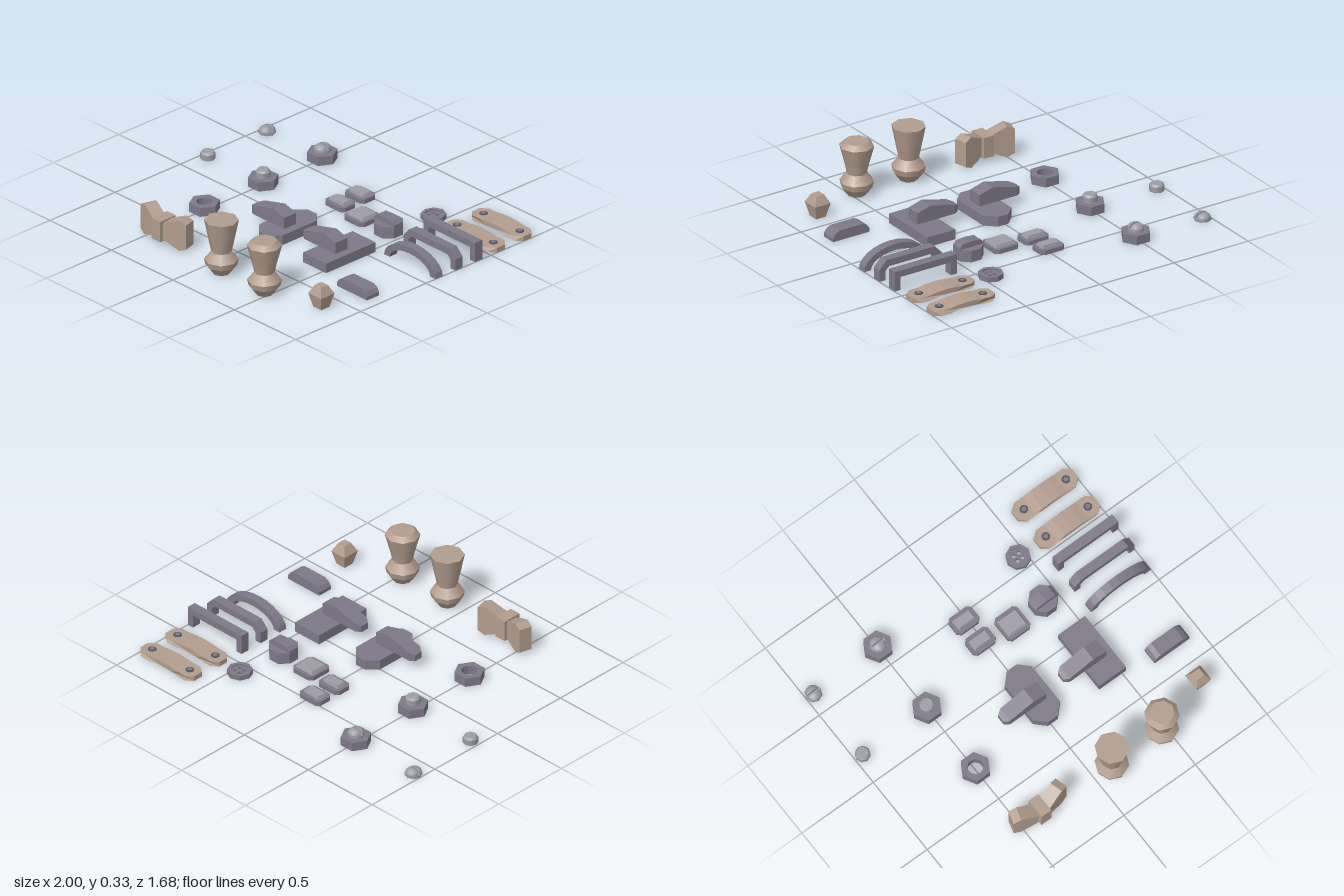
import * as THREE from 'three';

const mat = (name, color) => new THREE.MeshStandardMaterial({ name, color });

export function createModel() {
  const root = new THREE.Group();
  root.name = 'partsKit';
  const tan = mat('tan', 0xb29c8d);
  const slate = mat('slate', 0x7d7888);
  const silver = mat('silver', 0x9d9ca6);
  const dark = mat('darkSteel', 0x55535f);

  const group = (name, x, y, z, parent = root) => {
    const g = new THREE.Group();
    g.name = name;
    g.position.set(x, y, z);
    parent.add(g);
    return g;
  };
  const add = (parent, name, geo, material, x = 0, y = 0, z = 0) => {
    const m = new THREE.Mesh(geo, material);
    m.name = name;
    m.position.set(x, y, z);
    parent.add(m);
    return m;
  };
  const shapeOf = (pts) => new THREE.Shape(pts.map(([x, y]) => new THREE.Vector2(x, y)));
  // upright slab from a plan outline
  const slab = (shape, h) =>
    new THREE.ExtrudeGeometry(shape, { depth: h, bevelEnabled: false, curveSegments: 6 }).rotateX(-Math.PI / 2);
  // side profile in x-y, extruded and centred on z
  const profile = (pts, d) =>
    new THREE.ExtrudeGeometry(shapeOf(pts), { depth: d, bevelEnabled: false }).translate(0, 0, -d / 2);
  // rectangle with cut corners
  const cut = (w, d, c) => {
    const a = w / 2, b = d / 2;
    return shapeOf([[a, c - b], [a, b - c], [a - c, b], [c - a, b], [-a, b - c], [-a, c - b], [c - a, -b], [a - c, -b]]);
  };
  const polygon = (r, n) =>
    shapeOf(Array.from({ length: n }, (_, i) => [r * Math.cos((i * 2 * Math.PI) / n), r * Math.sin((i * 2 * Math.PI) / n)]));
  const hole = (x, y, r) => new THREE.Path().absarc(x, y, r, 0, Math.PI * 2, true);
  // stacked frustums from [radius, height] pairs, closed at both ends
  const turned = (parent, name, rings, sides, material) => {
    for (let i = 0; i + 1 < rings.length; i++) {
      const [r0, y0] = rings[i], [r1, y1] = rings[i + 1];
      add(parent, name, new THREE.CylinderGeometry(r1, r0, y1 - y0, sides, 1, true), material, 0, (y0 + y1) / 2);
    }
    const [rt, yt] = rings[rings.length - 1], [rb, yb] = rings[0];
    const turn = -Math.PI / 2;
    add(parent, name + 'Top', new THREE.CircleGeometry(rt, sides).rotateX(turn), material, 0, yt);
    add(parent, name + 'Base', new THREE.CircleGeometry(rb, sides).rotateX(-turn), material, 0, yb);
  };

  // slotted dome screw: low disc with two half domes
  const slottedScrew = (x, y, z) => {
    const g = group('slottedScrew', x, y, z);
    add(g, 'screwDisc', new THREE.CylinderGeometry(0.05, 0.05, 0.015, 8), silver, 0, 0.0075);
    for (const turn of [0, Math.PI]) {
      const half = group('halfDome', 0, 0.015, 0, g);
      half.rotation.y = turn;
      add(half, 'domeShell', new THREE.SphereGeometry(0.043, 8, 4, 0, Math.PI, 0, Math.PI / 2).scale(1, 0.7, 1), silver, 0, 0, 0.007);
      add(half, 'slotWall', new THREE.CircleGeometry(0.043, 8, 0, Math.PI).scale(1, 0.7, 1).rotateY(Math.PI), silver, 0, 0, 0.007);
    }
  };
  const bolt = (x, y, z) =>
    turned(group('smallBolt', x, y, z), 'boltHead', [[0.044, 0], [0.044, 0.034], [0.034, 0.046]], 8, silver);

  // left column: loose fasteners and hex nuts
  slottedScrew(-0.95, 0, -0.62);
  bolt(-0.95, 0, -0.165);
  slottedScrew(-0.5, 0.055, -0.62);
  bolt(-0.5, 0.055, -0.165);
  for (const z of [-0.62, -0.165, 0.285]) {
    const hex = polygon(0.088, 6);
    if (z > 0) hex.holes.push(hole(0, 0, 0.045));
    add(root, 'hexNut', slab(hex, 0.055), slate, -0.5, 0, z);
  }

  // bow tie: two swept wings and a knot
  const bow = group('bowTie', -0.375, 0, 0.72);
  for (const s of [-1, 1]) {
    const wing = group('bowWing', s * 0.03, 0, 0, bow);
    wing.rotation.y = s * 0.26;
    const pts = [[0, 0.045], [0.105, 0], [0.15, 0.02], [0.15, 0.17], [0.105, 0.19], [0, 0.145]];
    add(wing, 'bowPanel', profile(pts.map(([x, y]) => [s * x, y]), 0.08), tan);
  }
  add(bow, 'bowKnot', new THREE.BoxGeometry(0.07, 0.128, 0.12), tan, 0, 0.095, -0.003);

  // small framed buckles with a raised silver panel
  const buckle = (x, z, w, d, iw, id) => {
    const g = group('buckle', x, 0, z);
    add(g, 'buckleBase', slab(cut(w, d, 0.02), 0.027), slate);
    const top = new THREE.CylinderGeometry(Math.SQRT1_2 * 0.86, Math.SQRT1_2, 0.018, 4).rotateY(Math.PI / 4);
    add(g, 'bucklePanel', top.toNonIndexed().scale(iw, 1, id), silver, 0, 0.036).geometry.computeVertexNormals();
  };
  buckle(-0.02, -0.457, 0.16, 0.115, 0.12, 0.065);
  buckle(-0.02, -0.305, 0.16, 0.115, 0.12, 0.065);
  buckle(0.185, -0.28, 0.16, 0.16, 0.13, 0.115);

  // round knob with a ridge grip
  const knob = group('ridgeKnob', 0.4, 0, -0.28);
  add(knob, 'knobBody', slab(cut(0.16, 0.16, 0.047), 0.07), slate);
  add(knob, 'knobRidge', profile([[-0.08, 0.06], [0.08, 0.06], [0.08, 0.08], [0.06, 0.1], [0, 0.105], [-0.06, 0.1], [-0.08, 0.08]], 0.07), slate);

  // four-hole button with a raised rim
  const button = group('button', 0.45, 0, -0.577);
  const disc = polygon(0.06, 8), rim = polygon(0.073, 8);
  for (const x of [-0.017, 0.017]) for (const y of [-0.017, 0.017]) disc.holes.push(hole(x, y, 0.012));
  rim.holes.push(hole(0, 0, 0.05));
  add(button, 'buttonDisc', slab(disc, 0.02), slate, 0, 0.001);
  add(button, 'buttonRim', slab(rim, 0.03), slate);

  // tan straps, slightly arched, with a rivet at each end
  for (const z of [-0.78, -0.577]) {
    const g = group('strap', 0.79, 0, z);
    const xs = [-0.21, -0.17, -0.11, -0.06, 0, 0.06, 0.11, 0.17, 0.21];
    const lift = (x) => 0.011 * Math.max(0, 1 - Math.max(0, Math.abs(x) - 0.04) / 0.08);
    const low = xs.map((x) => [x, lift(x)]);
    const geo = profile([...low, ...low.map(([x, y]) => [x, y + 0.03]).reverse()], 0.125);
    const p = geo.attributes.position;
    for (let i = 0; i < p.count; i++) if (Math.abs(p.getX(i)) > 0.2) p.setZ(i, p.getZ(i) * 0.5);
    geo.computeVertexNormals();
    add(g, 'strapBand', geo, tan);
    for (const x of [-0.147, 0.147]) {
      add(g, 'rivetRing', new THREE.CylinderGeometry(0.025, 0.025, 0.008, 10), dark, x, 0.03, 0);
      add(g, 'rivetCentre', new THREE.CylinderGeometry(0.014, 0.014, 0.004, 10), slate, x, 0.035, 0);
    }
  }

  // handles: square, chamfered and arched
  const square = [[-0.21, 0], [-0.21, 0.12], [0.21, 0.12], [0.21, 0], [0.17, 0], [0.17, 0.08], [-0.17, 0.08], [-0.17, 0]];
  const chamfered = [[-0.21, 0], [-0.21, 0.07], [-0.165, 0.12], [0.165, 0.12], [0.21, 0.07], [0.21, 0],
    [0.17, 0], [0.17, 0.055], [0.145, 0.08], [-0.145, 0.08], [-0.17, 0.055], [-0.17, 0]];
  const arc = (rx, ry) => Array.from({ length: 13 }, (_, i) => [-rx * Math.cos((i * Math.PI) / 12), ry * Math.sin((i * Math.PI) / 12)]);
  const arch = [...arc(0.21, 0.12), ...arc(0.165, 0.082).reverse()];
  [['squareHandle', square, -0.405], ['chamferedHandle', chamfered, -0.253], ['archHandle', arch, -0.102]].forEach(([n, pts, z]) =>
    add(root, n, profile(pts, 0.055), slate, 0.79, 0, z));

  // latches: a base block with an overhanging peaked lever
  const lever = () => {
    const geo = profile([[-0.225, 0.06], [-0.195, 0.06], [0.06, 0.06], [0.06, 0.13], [-0.03, 0.155], [-0.195, 0.113], [-0.225, 0.1]], 0.092);
    const p = geo.attributes.position;
    for (let i = 0; i < p.count; i++) if (p.getX(i) < -0.21) p.setZ(i, p.getZ(i) * 0.55);
    geo.computeVertexNormals();
    return geo;
  };
  [[0, 0.06], [0.418, 0]].forEach(([x, c]) => {
    const g = group('latch', x, 0, 0);
    const base = c ? slab(cut(0.19, 0.38, c), 0.06) : new THREE.BoxGeometry(0.188, 0.06, 0.38).translate(0, 0.03, 0);
    add(g, 'latchBase', base, slate, 0.015, 0, 0.13);
    add(g, 'latchLever', lever(), slate, 0, 0, 0.156);
  });

  // loose bar with sloped ends
  add(root, 'looseBar', profile([[-0.123, 0], [0.123, 0], [0.123, 0.022], [0.107, 0.045], [0.08, 0.06], [-0.08, 0.06], [-0.107, 0.045], [-0.123, 0.022]], 0.092), slate, 0.803, 0, 0.336);

  // square tan peg, widest at mid height
  const peg = group('peg', 0.806, 0, 0.62);
  peg.rotation.y = Math.PI / 4;
  turned(peg, 'pegBody', [[0.045, 0], [0.074, 0.085], [0.036, 0.138]].map(([r, y]) => [r, y]), 4, tan);
  peg.traverse((m) => {
    if (!m.isMesh) return;
    m.geometry = m.geometry.toNonIndexed();
    m.geometry.computeVertexNormals();
  });

  // two waisted tassels, one flat-topped and one with a bevelled top
  const foot = [[0.052, 0], [0.09, 0.05], [0.098, 0.085], [0.058, 0.135], [0.07, 0.19]];
  turned(group('flatTassel', 0.115, 0, 0.735), 'tasselBody', [...foot, [0.094, 0.31], [0.098, 0.33]], 8, tan);
  turned(group('bevelledTassel', 0.465, 0, 0.735), 'tasselBody', [...foot, [0.1, 0.302], [0.072, 0.33]], 8, tan);

  return root;
}
